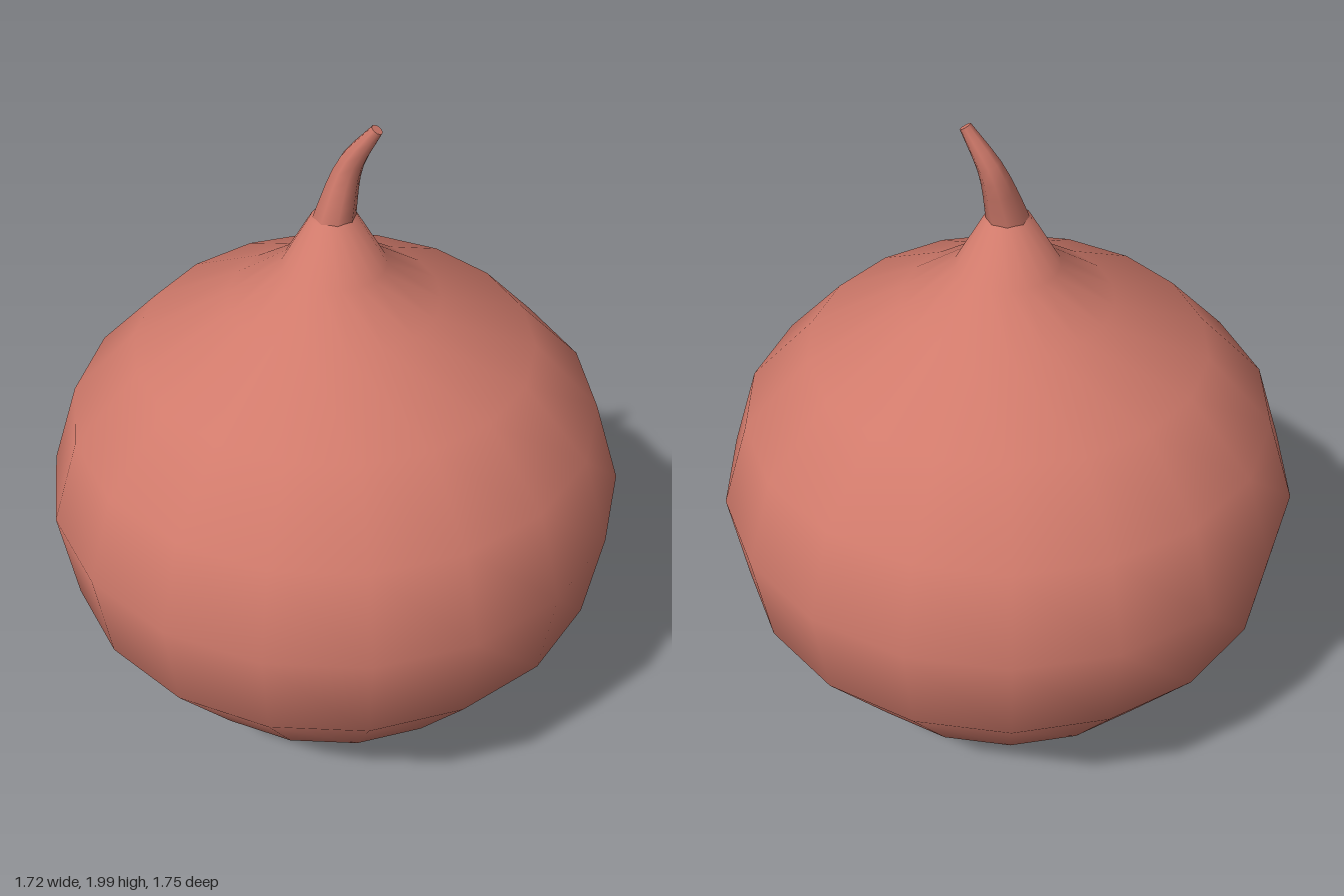
import * as THREE from 'three';

const skin = new THREE.MeshStandardMaterial({ color: 0xd07a6b });
skin.name = 'skin';
const rootGrey = new THREE.MeshStandardMaterial({ color: 0xd6cfbe });
rootGrey.name = 'root';

function part(name, geometry, material) {
  const mesh = new THREE.Mesh(geometry, material);
  mesh.name = name;
  return mesh;
}

// Capped tube along a smooth path whose radius runs from r0 to r1
function taperedTube(points, r0, r1, steps, sides) {
  const curve = new THREE.CatmullRomCurve3(points.map((p) => new THREE.Vector3(...p)));
  const geo = new THREE.TubeGeometry(curve, steps, 1, sides);
  const pos = geo.attributes.position;
  const v = new THREE.Vector3();
  const positions = [];
  for (let i = 0; i < pos.count; i++) {
    const t = Math.floor(i / (sides + 1)) / steps;
    const c = curve.getPointAt(t);
    v.fromBufferAttribute(pos, i).sub(c).multiplyScalar(r0 + (r1 - r0) * t).add(c);
    positions.push(v.x, v.y, v.z);
  }
  // Fan that closes the tip
  const index = [...geo.index.array];
  const normals = [...geo.attributes.normal.array];
  const last = steps * (sides + 1);
  const tip = curve.getPointAt(1);
  const tangent = curve.getTangentAt(1);
  const start = positions.length / 3;
  positions.push(...tip.toArray());
  normals.push(...tangent.toArray());
  for (let j = 0; j <= sides; j++) {
    positions.push(...positions.slice((last + j) * 3, (last + j) * 3 + 3));
    normals.push(...tangent.toArray());
  }
  const at = (i) => new THREE.Vector3().fromArray(positions, i * 3);
  const facing = at(start + 1).sub(tip).cross(at(start + 2).sub(tip)).dot(tangent) > 0;
  for (let j = 1; j <= sides; j++) {
    index.push(start, start + j + (facing ? 0 : 1), start + j + (facing ? 1 : 0));
  }
  const out = new THREE.BufferGeometry();
  out.setAttribute('position', new THREE.Float32BufferAttribute(positions, 3));
  out.setAttribute('normal', new THREE.Float32BufferAttribute(normals, 3));
  out.setIndex(index);
  return out;
}

export function createModel() {
  const model = new THREE.Group();
  model.name = 'onion';

  // Bulb, turned from a coarse profile
  const profile = [
    [0, 0.06], [0.23, 0.065], [0.592, 0.195], [0.825, 0.505], [0.873, 0.81], [0.79, 1.08],
    [0.592, 1.295], [0.312, 1.45], [0.153, 1.565], [0.068, 1.715], [0, 1.73],
  ].map(([r, y]) => new THREE.Vector2(r, y));
  model.add(part('bulb', new THREE.LatheGeometry(profile, 18), skin));

  // Curved stem
  model.add(part('stem', taperedTube(
    [[-0.005, 1.68, 0], [0.01, 1.75, -0.005], [0.045, 1.87, -0.012], [0.115, 1.99, 0.018]],
    0.066, 0.018, 8, 8), skin));

  // Flattened root plate
  const plate = new THREE.SphereGeometry(0.2, 18, 10);
  plate.scale(1, 0.225, 1);
  plate.translate(0, 0.05, 0);
  model.add(part('rootPlate', plate, rootGrey));

  // Rootlets: start x, z, tip x, z and sideways bend
  const rootlets = new THREE.Group();
  rootlets.name = 'rootlets';
  [
    [0.12, -0.14, 0.155, -0.275, 0.02],
    [0.08, -0.16, 0.09, -0.30, -0.02],
    [0.15, -0.07, 0.295, -0.05, 0.025],
    [0.02, 0.14, 0.11, 0.25, -0.02],
    [-0.11, 0.14, -0.06, 0.30, 0.025],
    [-0.16, -0.06, -0.30, 0.01, -0.02],
  ].forEach(([x0, z0, x1, z1, bend]) => {
    const len = Math.hypot(x1 - x0, z1 - z0);
    const mx = (x0 + x1) / 2 - (bend * (z1 - z0)) / len;
    const mz = (z0 + z1) / 2 + (bend * (x1 - x0)) / len;
    rootlets.add(part('rootlet', taperedTube(
      [[x0, 0.045, z0], [mx, 0.05, mz], [x1, 0.042, z1]], 0.014, 0.008, 6, 6), rootGrey));
  });
  model.add(rootlets);

  return model;
}
